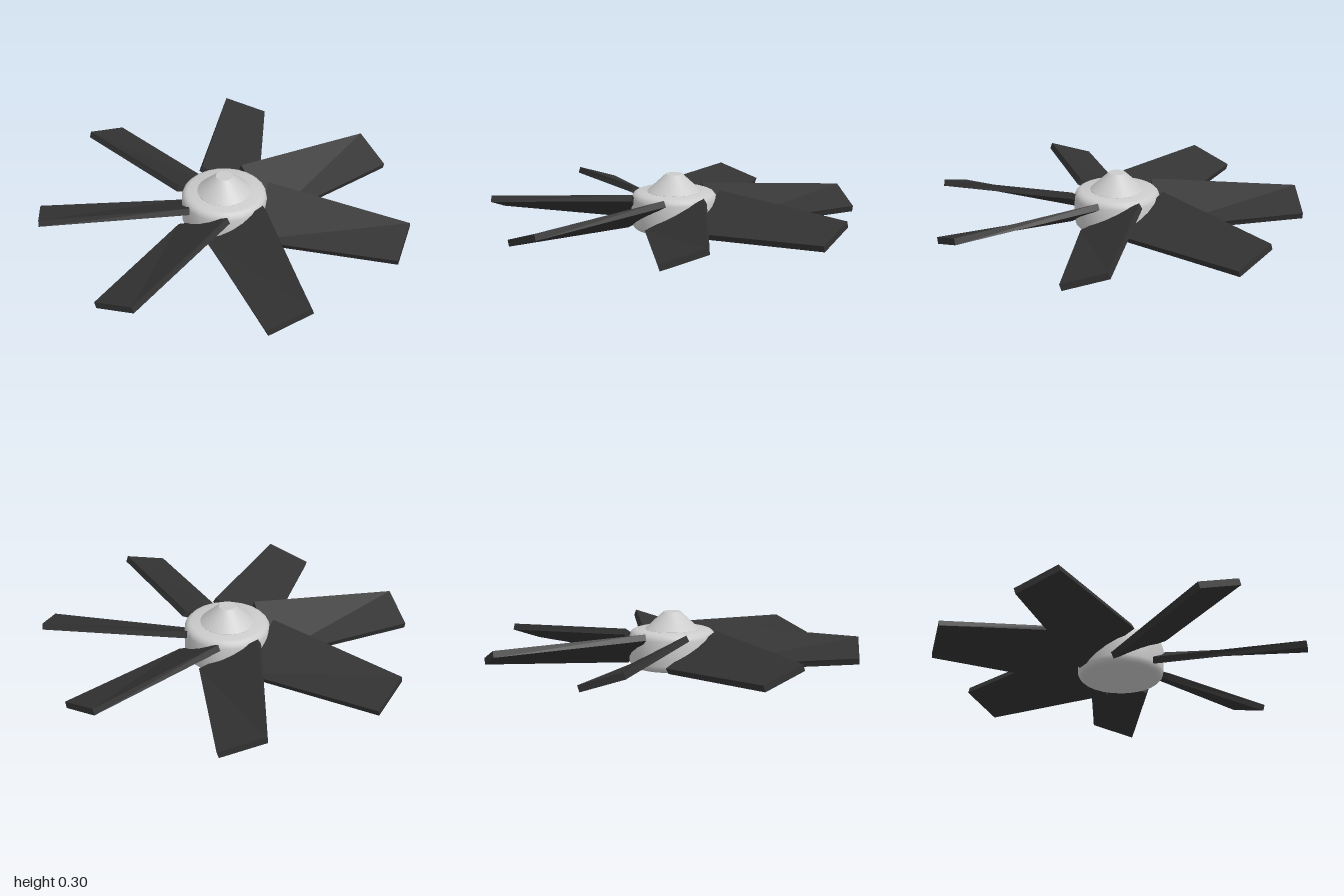
import * as THREE from 'three';
import { toCreasedNormals } from 'three/addons/utils/BufferGeometryUtils.js';

const BLADES = 7;

// Flat-faced blade along +x: tapered in width and twisted from root to tip
function bladeGeometry() {
  const root = { r: 0.2, chord: 0.355, pitch: 0.5 };
  const tip = { r: 0.995, chord: 0.246, pitch: 0.32 };
  const thickness = 0.035, midY = 0.107;
  const geo = new THREE.BoxGeometry(1, 1, 1).toNonIndexed();
  const p = geo.attributes.position;
  for (let i = 0; i < p.count; i++) {
    const s = p.getX(i) < 0 ? root : tip;
    const up = p.getY(i) * thickness, across = p.getZ(i) * s.chord;
    const c = Math.cos(s.pitch), n = Math.sin(s.pitch);
    p.setXYZ(i, s.r, midY + up * c - across * n, across * c + up * n);
  }
  geo.computeVertexNormals();
  return geo;
}

// Turned solid with sharp edges kept where the profile bends strongly
function turned(points, segments) {
  const profile = points.map(([x, y]) => new THREE.Vector2(x, y));
  return toCreasedNormals(new THREE.LatheGeometry(profile, segments), 0.6);
}

export function createModel() {
  const model = new THREE.Group();
  model.name = 'fanRotor';
  const grey = new THREE.MeshStandardMaterial({ color: 0xcccccc });
  const dark = new THREE.MeshStandardMaterial({ color: 0x333333 });

  // Hub drum with rounded rims
  const hub = new THREE.Mesh(turned([
    [0, 0], [0.195, 0], [0.213, 0.007], [0.225, 0.02], [0.23, 0.038],
    [0.23, 0.168], [0.225, 0.186], [0.213, 0.199], [0.195, 0.206], [0, 0.206],
  ], 24), grey);
  hub.name = 'hub';

  // Truncated cone on top of the hub
  const cap = new THREE.Mesh(turned([
    [0, 0.2], [0.145, 0.2], [0.145, 0.207], [0.045, 0.3], [0, 0.3],
  ], 24), grey);
  cap.name = 'hubCap';
  model.add(hub, cap);

  // Ring of blades
  const geo = bladeGeometry();
  for (let i = 0; i < BLADES; i++) {
    const blade = new THREE.Mesh(geo, dark);
    blade.name = `blade${i + 1}`;
    blade.rotation.y = (i * Math.PI * 2) / BLADES;
    model.add(blade);
  }

  // Odd blade count: shift the axis so the overall span is centred
  for (const part of model.children) part.position.x = -0.024;
  return model;
}
